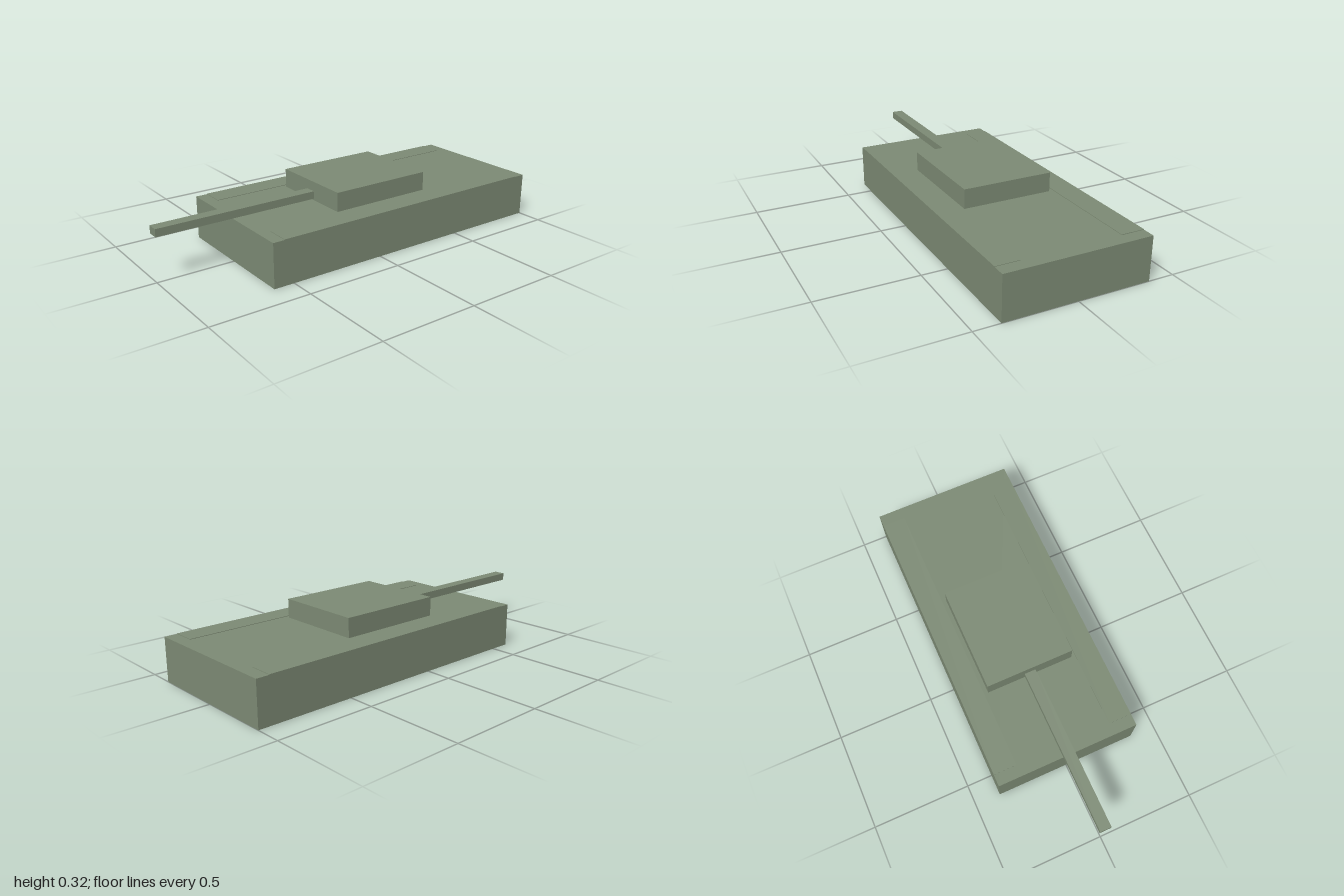
import * as THREE from 'three';

const material = new THREE.MeshStandardMaterial({ color: 0x7c8a74 });

// Box given by its extents along each axis
function box(name, [x0, x1], [y0, y1], [z0, z1]) {
  const mesh = new THREE.Mesh(new THREE.BoxGeometry(x1 - x0, y1 - y0, z1 - z0), material);
  mesh.position.set((x0 + x1) / 2, (y0 + y1) / 2, (z0 + z1) / 2);
  mesh.name = name;
  return mesh;
}

export function createModel() {
  const group = new THREE.Group();
  group.name = 'tank';
  const deck = 0.223;

  group.add(box('hull', [-0.369, 0.369], [0, deck], [-1, 0.605]));

  // Track tops, standing slightly proud of the deck
  group.add(box('leftTrack', [0.251, 0.369], [deck, 0.2255], [-0.935, 0.545]));
  group.add(box('rightTrack', [-0.369, -0.251], [deck, 0.2255], [-0.935, 0.545]));

  // Turret and square gun barrel
  group.add(box('turret', [-0.229, 0.229], [deck, 0.32], [-0.39, 0.155]));
  group.add(box('gunBarrel', [-0.029, 0.029], [0.232, 0.271], [0.155, 1]));

  return group;
}
